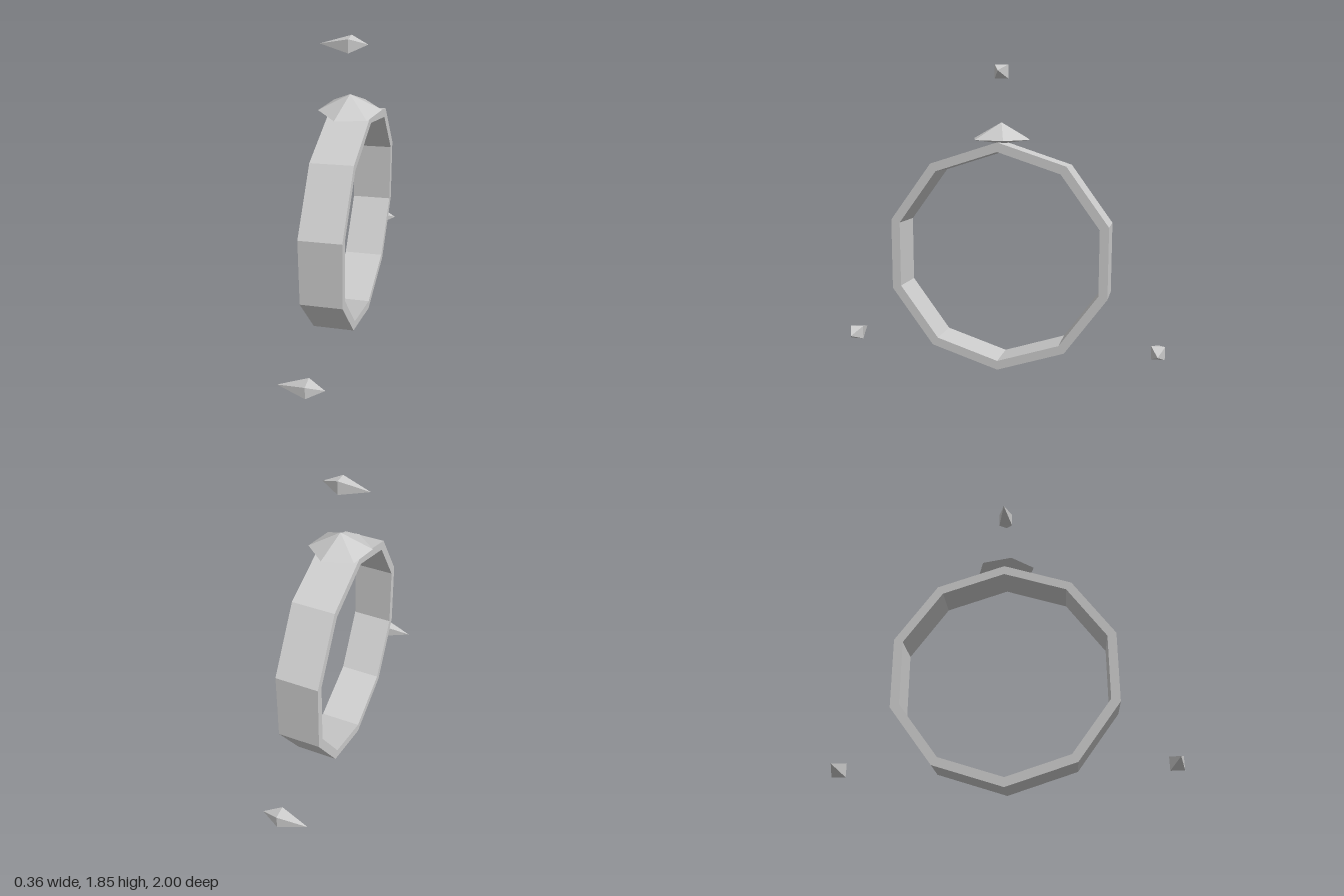
import * as THREE from 'three';

const material = new THREE.MeshStandardMaterial({ color: 0xcccccc, flatShading: true });

// Slight upward slant towards +x, shared by the band and the shards
const SLANT = 0.058;
const slant = new THREE.Matrix4().set(1, 0, 0, 0, SLANT, 1, 0, 0, 0, 0, 1, 0, 0, 0, 0, 1);

function addPart(group, name, geometry, x, y, z) {
  const mesh = new THREE.Mesh(geometry, material);
  mesh.name = name;
  mesh.position.set(x, y, z);
  group.add(mesh);
}

// Regular polygon, counter-clockwise, with one corner pointing up
function polygon(radius, sides) {
  return Array.from({ length: sides }, (_, i) => {
    const a = (i / sides) * Math.PI * 2;
    return new THREE.Vector2(-radius * Math.sin(a), radius * Math.cos(a));
  });
}

// Two pyramids joined at a common base
function bipyramid(radius, below, above, sides) {
  const profile = [
    new THREE.Vector2(0, -below),
    new THREE.Vector2(radius, 0),
    new THREE.Vector2(0, above),
  ];
  return new THREE.LatheGeometry(profile, sides, Math.PI / 4);
}

export function createModel() {
  const model = new THREE.Group();
  model.name = 'ring';

  // Ten-sided band, its axis along x
  const width = 0.252;
  const outline = new THREE.Shape(polygon(0.694, 10));
  outline.holes.push(new THREE.Path(polygon(0.638, 10)));
  const band = new THREE.ExtrudeGeometry(outline, { depth: width, bevelEnabled: false });
  band.translate(0, 0, -width / 2).rotateY(Math.PI / 2).applyMatrix4(slant);
  addPart(model, 'band', band, 0, 0.701, 0);

  // Six-sided gem resting on the top corner of the band
  addPart(model, 'gem', bipyramid(0.185, 0.028, 0.098, 6), 0, 1.414, 0);

  // Three floating shards spaced evenly around the band, long tips towards -x
  const shard = bipyramid(0.041 * Math.SQRT2, 0.175, 0.105, 4);
  shard.rotateZ(-Math.PI / 2).applyMatrix4(slant);
  polygon(1.107, 3).forEach((p, i) => {
    addPart(model, `shard${i + 1}`, shard, 0, 0.702 + p.y, p.x);
  });

  return model;
}
